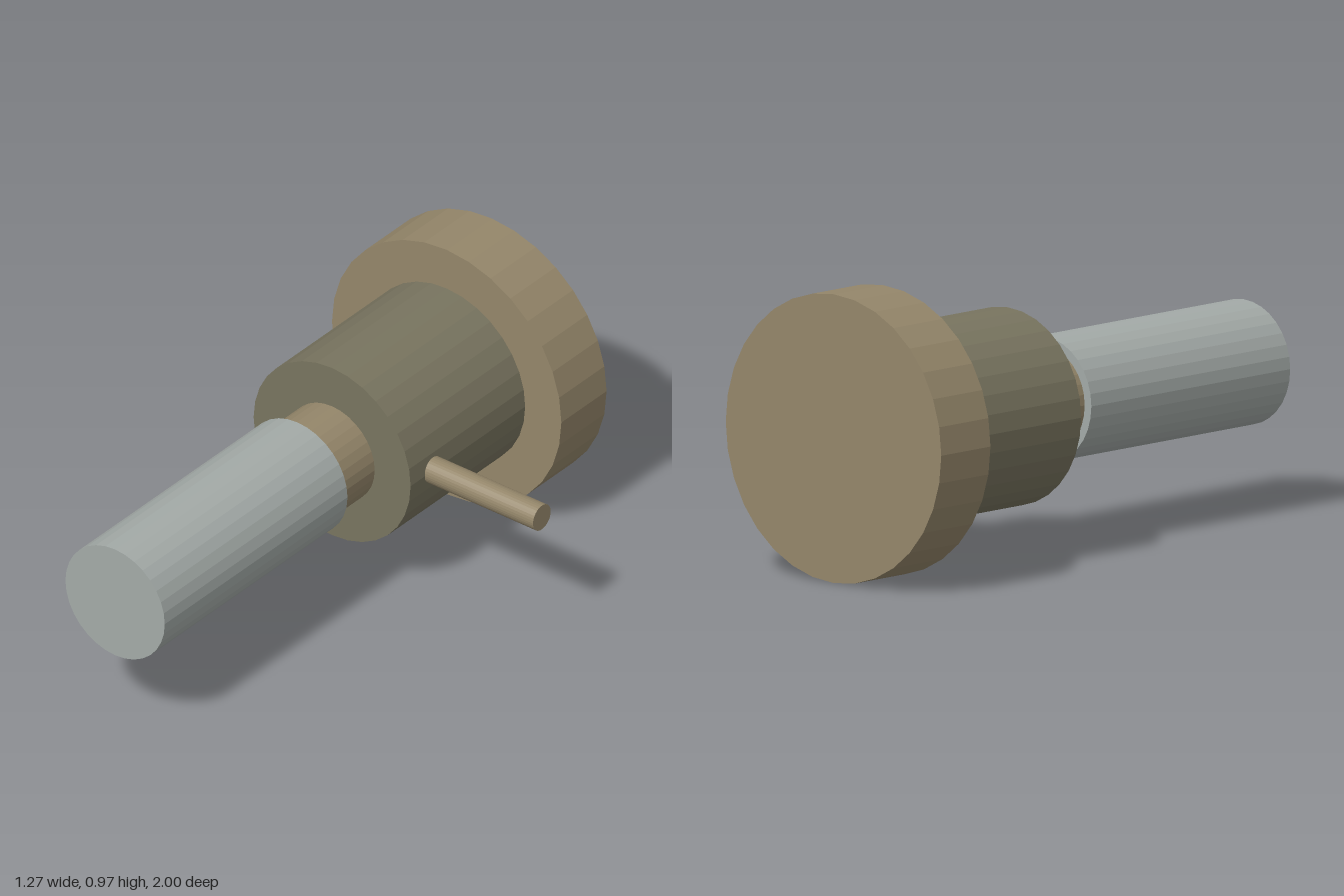
import * as THREE from 'three';

const AXIS_X = -0.153, AXIS_Y = 0.485;

export function createModel() {
  const group = new THREE.Group();
  const material = (color) => new THREE.MeshStandardMaterial({ color, flatShading: true });
  const brass = material(0x94866a);
  const bronze = material(0x78745f);
  const steel = material(0xa3aaa7);

  // Round section along z between two depths, on the shared axis
  function section(name, radius, zBack, zFront, mat) {
    const geometry = new THREE.CylinderGeometry(radius, radius, zFront - zBack, 32);
    geometry.rotateX(Math.PI / 2);
    const mesh = new THREE.Mesh(geometry, mat);
    mesh.position.set(AXIS_X, AXIS_Y, (zBack + zFront) / 2);
    mesh.name = name;
    group.add(mesh);
  }

  section('flange', 0.485, -1, -0.76, brass);
  section('body', 0.332, -0.76, -0.152, bronze);
  section('neck', 0.18, -0.152, 0.03, brass);
  section('shaft', 0.21, 0.03, 1, steel);

  // Side pin, its inner end sunk into the body
  const pinStart = 0.15, pinEnd = 0.636;
  const pinGeometry = new THREE.CylinderGeometry(0.047, 0.047, pinEnd - pinStart, 32);
  pinGeometry.rotateZ(-Math.PI / 2);
  const pin = new THREE.Mesh(pinGeometry, brass);
  pin.position.set((pinStart + pinEnd) / 2, AXIS_Y + 0.001, -0.275);
  pin.name = 'sidePin';
  group.add(pin);

  return group;
}
